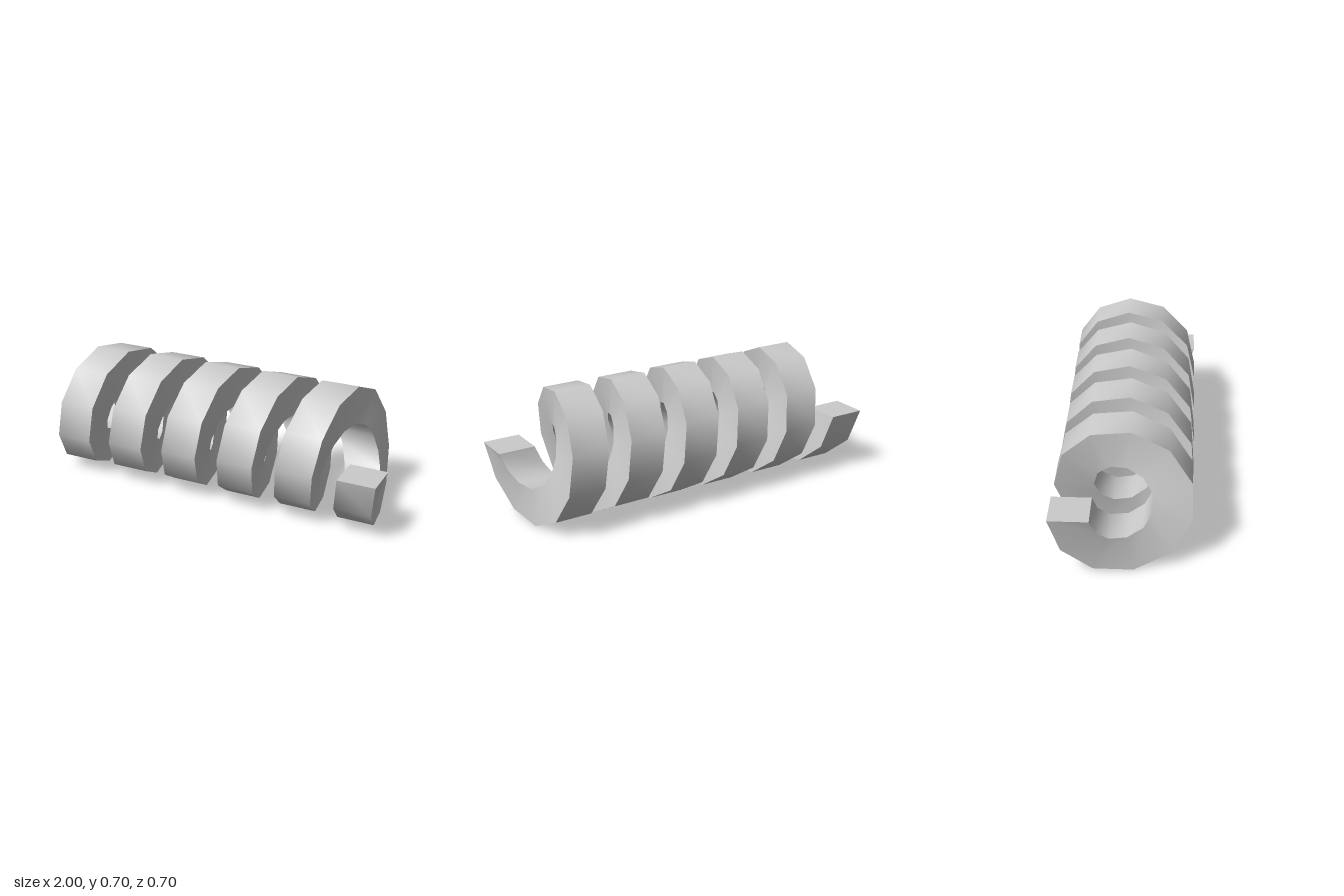
import * as THREE from 'three';

const TURNS = 5.5, STEPS = 60;          // 33 degrees per step
const R_IN = 0.1515, R_OUT = 0.3515;    // radial extent of the square wire
const HALF = 0.1, X_END = 0.9;          // half wire width, end of the centre path

// Square wire section: [offset along x, radius]
const SECTION = [[-HALF, R_IN], [-HALF, R_OUT], [HALF, R_OUT], [HALF, R_IN]];

// Point of section corner k at step i along the helix
function corner(k, i) {
  const t = (i / STEPS) * TURNS * Math.PI * 2;
  const [dx, r] = SECTION[k % 4];
  const x = -X_END + (2 * X_END * i) / STEPS + dx;
  return [x, R_OUT - r * Math.sin(t), -r * Math.cos(t)];
}

function coilGeometry() {
  const pos = [], index = [];

  // Four sides, each with its own vertices: smooth along, sharp across
  for (let k = 0; k < 4; k++) {
    const base = pos.length / 3;
    for (let i = 0; i <= STEPS; i++) {
      pos.push(...corner(k, i), ...corner(k + 1, i));
      if (i === STEPS) continue;
      const a = base + i * 2, b = a + 1, c = a + 2, d = a + 3;
      index.push(a, b, c, b, d, c);
    }
  }

  // Square caps at both ends
  for (const [i, order] of [[0, [0, 2, 1, 0, 3, 2]], [STEPS, [0, 1, 2, 0, 2, 3]]]) {
    const base = pos.length / 3;
    for (let k = 0; k < 4; k++) pos.push(...corner(k, i));
    index.push(...order.map((n) => base + n));
  }

  const geo = new THREE.BufferGeometry();
  geo.setAttribute('position', new THREE.Float32BufferAttribute(pos, 3));
  geo.setIndex(index);
  geo.computeVertexNormals();
  return geo;
}

export function createModel() {
  const group = new THREE.Group();
  group.name = 'spring';
  const coil = new THREE.Mesh(coilGeometry(), new THREE.MeshStandardMaterial({ color: 0xcccccc }));
  coil.name = 'coil';
  group.add(coil);
  return group;
}
